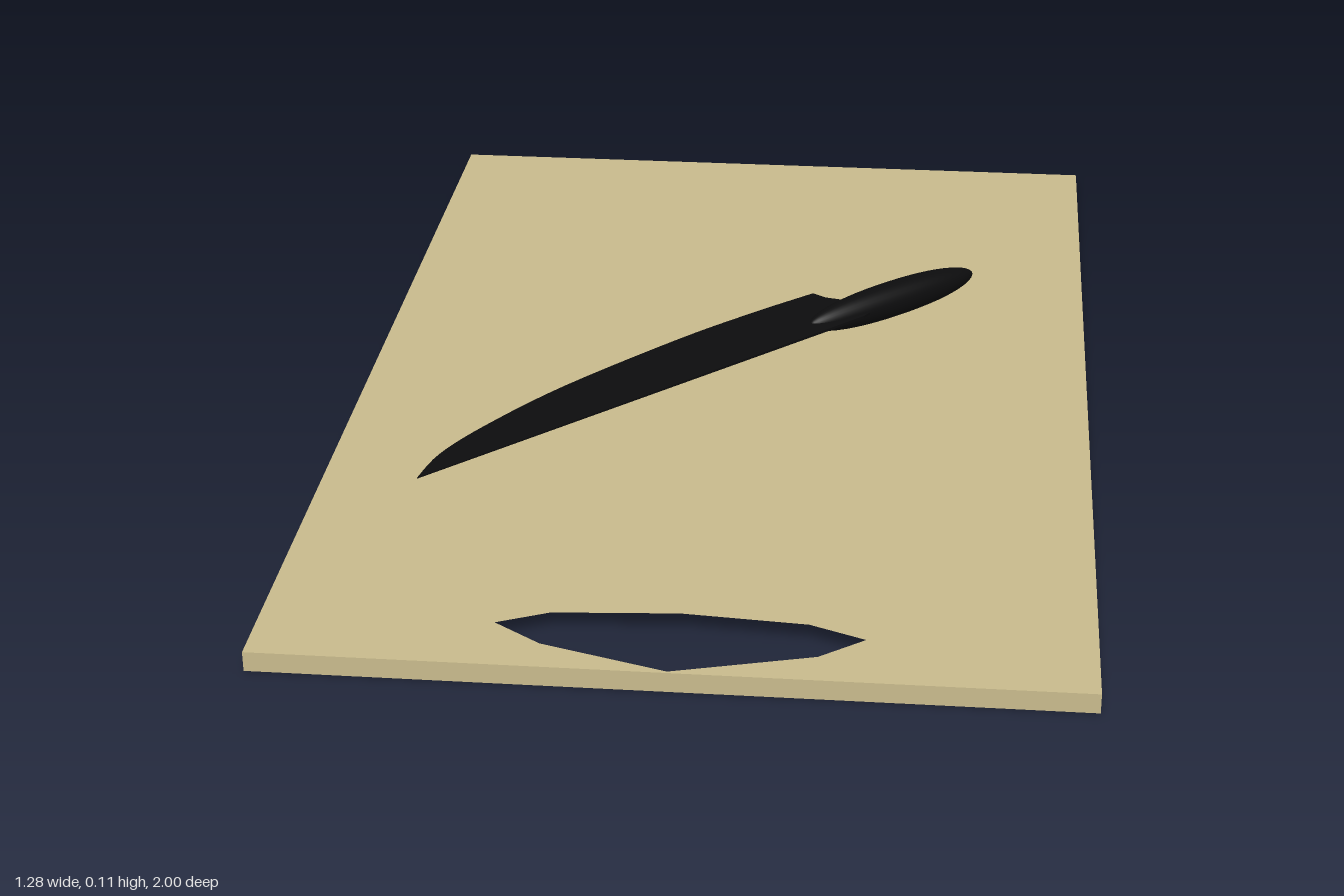
import * as THREE from 'three';

const wood = new THREE.MeshStandardMaterial({ color: 0xc8ba8c });
wood.name = 'pale wood';
const black = new THREE.MeshStandardMaterial({ color: 0x0c0c0d });
black.name = 'black';

// Plan outlines are given as [x, z]; shapes use y = -z so they lie flat after rotation
const toPoints = (list) => list.map(([x, z]) => new THREE.Vector2(x, -z));

function slab(name, outline, holes, y0, y1, material) {
  const shape = new THREE.Shape(toPoints(outline));
  for (const hole of holes) shape.holes.push(new THREE.Path(toPoints(hole)));
  const geometry = new THREE.ExtrudeGeometry(shape, { depth: y1 - y0, bevelEnabled: false });
  geometry.rotateX(-Math.PI / 2).translate(0, y0, 0);
  const mesh = new THREE.Mesh(geometry, material);
  mesh.name = name;
  return mesh;
}

export function createModel() {
  const model = new THREE.Group();
  model.name = 'cuttingBoardWithKnife';

  // Board: plain lower layer, upper layer pierced by the juice groove
  const edge = [[-0.64, -1], [0.64, -1], [0.64, 1], [-0.64, 1]];
  const gripHole = [[-0.3, 0.865], [-0.2, 0.82], [0, 0.805], [0.2, 0.82],
    [0.31, 0.865], [0.22, 0.935], [0, 0.996], [-0.2, 0.935]];
  const groove = [[-0.6, 0.73], [-0.6, -0.93], [0.595, -0.93], [0.595, 0.73],
    [0.573, 0.73], [0.573, -0.9], [-0.577, -0.9], [-0.577, 0.73]];
  const board = new THREE.Group();
  board.name = 'board';
  board.add(
    slab('boardBase', edge, [gripHole], 0, 0.018, wood),
    slab('boardTop', edge, [gripHole, groove], 0.018, 0.033, wood),
  );
  model.add(board);

  // Knife, rising gently from the tip towards the handle
  const knife = new THREE.Group();
  knife.name = 'knife';
  const angle = THREE.MathUtils.degToRad(39);
  const slope = 0.0315;
  const dir = new THREE.Vector3(Math.cos(angle), slope, -Math.sin(angle)).normalize();

  // Blade: straight back, curved cutting edge and stepped heel
  const tip = [-0.478, 0.455];
  const curve = new THREE.SplineCurve([tip, [-0.455, 0.372], [-0.395, 0.27], [-0.28, 0.12],
    [-0.1, -0.068], [0.03, -0.185], [0.135, -0.27]].map((p) => new THREE.Vector2(...p)));
  const outline = curve.getPoints(30).map((p) => [p.x, p.y]);
  outline.push([0.16, -0.253], [0.215, -0.238], [0.25, -0.26], [0.27, -0.23], [0.235, -0.178]);
  const blade = slab('blade', outline, [], 0, 1, black);
  const pos = blade.geometry.attributes.position;
  for (let i = 0; i < pos.count; i++) {
    const s = (pos.getX(i) - tip[0]) * dir.x + (pos.getZ(i) - tip[1]) * dir.z;
    const thickness = 0.002 + 0.003 * s;
    pos.setY(i, 0.043 + slope * s + (pos.getY(i) - 0.5) * thickness);
  }
  blade.geometry.computeVertexNormals();
  knife.add(blade);

  // Handle: a long rounded body turned about the knife's axis
  const profile = [];
  for (let i = 0; i <= 24; i++) {
    const t = -Math.cos((i / 24) * Math.PI);
    const r = 0.033 * Math.sqrt(Math.max(0, 1 - Math.abs(t) ** 2.2));
    profile.push(new THREE.Vector2(r, t * 0.188));
  }
  const handle = new THREE.Mesh(new THREE.LatheGeometry(profile, 32), black);
  handle.name = 'handle';
  handle.position.set(0.283, 0.073, -0.263);
  handle.quaternion.setFromUnitVectors(new THREE.Vector3(0, 1, 0), dir);
  knife.add(handle);
  model.add(knife);

  return model;
}
